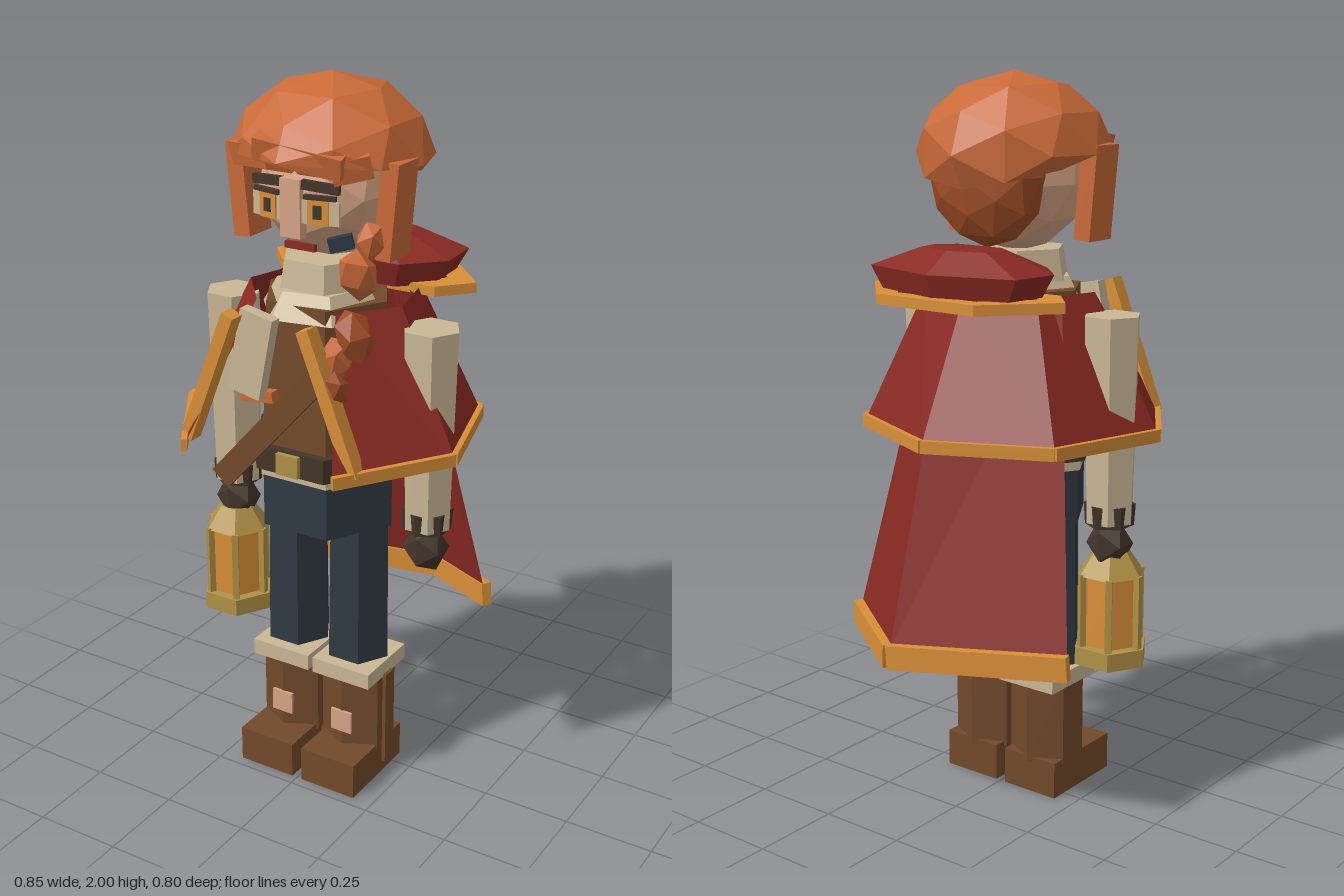
import * as THREE from 'three';

const mat = (name, color, side = THREE.FrontSide) =>
  Object.assign(new THREE.MeshStandardMaterial({ color, flatShading: true, side }), { name });

export function createModel() {
  const model = new THREE.Group();
  const M = {
    hair: mat('copper hair', 0xc96a38),
    auburn: mat('auburn hair', 0xa04e26),
    red: mat('red cloth', 0x8a2a23, THREE.DoubleSide),
    trim: mat('amber trim', 0xd88f38),
    brass: mat('brass', 0xb09146),
    cream: mat('cream cloth', 0xcab896),
    skin: mat('skin', 0xd6a585),
    brown: mat('brown leather', 0x724a2b),
    dark: mat('dark leather', 0x43352a),
    navy: mat('navy cloth', 0x303a43),
  };
  const V = (a) => new THREE.Vector3(...a);

  const add = (name, geo, material, pos = [0, 0, 0], rot = [0, 0, 0]) => {
    const m = new THREE.Mesh(geo, material);
    m.name = name;
    m.position.set(...pos);
    m.rotation.set(...rot);
    model.add(m);
    return m;
  };
  const box = (name, material, size, pos, rot) => add(name, new THREE.BoxGeometry(...size), material, pos, rot);
  // six-sided prism between two heights, corners pointing along x unless turned
  const hex = (name, material, rTop, rBottom, y0, y1, x, z, sx = 1, turn = Math.PI / 6) =>
    add(name, new THREE.CylinderGeometry(rTop, rBottom, y1 - y0, 6).rotateY(turn).scale(sx, 1, 1),
      material, [x, (y0 + y1) / 2, z]);
  // straight bar from a to b: h is its height, t its thickness
  const bar = (name, material, a, b, h, t) => {
    const p = V(a), q = V(b), X = q.clone().sub(p), len = X.length();
    X.normalize();
    const Z = X.clone().cross(V([0, 1, 0])).normalize(), Y = Z.clone().cross(X);
    const m = add(name, new THREE.BoxGeometry(len, h, t), material);
    m.position.copy(p.add(q).multiplyScalar(0.5));
    m.quaternion.setFromRotationMatrix(new THREE.Matrix4().makeBasis(X, Y, Z));
  };
  // surface joining rings of equal length
  const loft = (rings, closed = false) => {
    const n = rings[0].length, out = [];
    for (let r = 0; r < rings.length - 1; r++) {
      for (let i = 0; i < (closed ? n : n - 1); i++) {
        const j = (i + 1) % n, a = rings[r][i], b = rings[r][j], c = rings[r + 1][i], d = rings[r + 1][j];
        out.push(...a, ...c, ...b, ...b, ...c, ...d);
      }
    }
    const g = new THREE.BufferGeometry();
    g.setAttribute('position', new THREE.Float32BufferAttribute(out, 3));
    g.computeVertexNormals();
    return g;
  };
  const ball = (r, detail = 1) => new THREE.IcosahedronGeometry(r, detail);

  // Head, and a hair cap whose rim rises at the front and dips at the back
  add('head', ball(0.187), M.skin, [0, 1.71, 0.03]);
  const dome = ball(1);
  const p = dome.attributes.position;
  for (let i = 0; i < p.count; i++) {
    const z = p.getZ(i);
    p.setY(i, Math.max(p.getY(i), z > 0 ? 0.15 * z - 0.03 : 0.45 * z - 0.03));
  }
  add('hairCap', dome.scale(0.264, 0.21, 0.265), M.hair, [0, 1.79, 0.018]);
  add('backHair', ball(1).scale(0.18, 0.19, 0.098), M.auburn, [0, 1.735, -0.1]);
  box('fringe', M.hair, [0.15, 0.06, 0.06], [-0.115, 1.815, 0.195], [0.2, -0.35, 0.18]);
  box('fringe', M.hair, [0.24, 0.06, 0.06], [0.035, 1.83, 0.222], [0.25, 0.1, -0.18]);
  box('fringe', M.hair, [0.1, 0.06, 0.06], [0.15, 1.805, 0.175], [0.2, 0.6, 0.1]);
  box('hairline', M.auburn, [0.24, 0.035, 0.03], [0, 1.79, 0.182]);
  for (const s of [-1, 1]) box('sideLock', M.hair, [0.05, 0.25, 0.1], [s * 0.222, 1.69, 0.08], [0, 0, s * -0.09]);

  // Face
  for (const s of [-1, 1]) {
    box('eyeWhite', M.cream, [0.1, 0.06, 0.008], [s * 0.078, 1.685, 0.201], [0, s * 0.2, 0]);
    box('iris', M.trim, [0.056, 0.068, 0.008], [s * 0.074, 1.688, 0.206], [0, s * 0.2, 0]);
    box('pupil', M.dark, [0.022, 0.034, 0.008], [s * 0.074, 1.688, 0.21], [0, s * 0.2, 0]);
    box('eyelid', M.dark, [0.085, 0.012, 0.012], [s * 0.078, 1.724, 0.204], [0, s * 0.2, 0]);
    box('eyebrow', M.dark, [0.1, 0.024, 0.015], [s * 0.078, 1.75, 0.2], [0, s * 0.2, s * -0.08]);
  }
  box('nose', M.skin, [0.06, 0.15, 0.03], [0, 1.69, 0.207]);
  box('mouth', M.red, [0.09, 0.018, 0.012], [0.005, 1.585, 0.181]);
  box('cheekPatch', M.navy, [0.062, 0.036, 0.025], [0.118, 1.607, 0.17], [0, 0.45, 0.25]);

  // Braid falling over the left shoulder
  [[0.18, 1.61, 0.13, 0.04, 'hair'], [0.165, 1.53, 0.165, 0.052, 'hair'], [0.205, 1.40, 0.25, 0.052, 'auburn'],
    [0.165, 1.34, 0.27, 0.046, 'hair'], [0.185, 1.275, 0.305, 0.036, 'auburn']].forEach(([x, y, z, r, c], i) =>
    add('braidBead', ball(1, 0).scale(r, r * 1.5, r), M[c], [x, y, z], [0.2, 0.5 + i, i % 2 ? 0.3 : -0.3]));
  box('braidTie', M.hair, [0.05, 0.06, 0.04], [0.165, 1.19, 0.24], [0, 0, 0.15]);

  // Scarf
  hex('scarfWrap', M.cream, 0.12, 0.135, 1.45, 1.535, 0, 0.055);
  hex('scarfBase', M.cream, 0.13, 0.17, 1.39, 1.46, 0, 0.07, 1, 0.7);
  box('scarfEnd', M.cream, [0.1, 0.23, 0.035], [-0.09, 1.305, 0.265], [0, 0, -0.2]);
  box('scarfFringe', M.hair, [0.1, 0.03, 0.03], [-0.09, 1.18, 0.24], [0, 0, 0.12]);

  // Torso, belt and shoulder strap
  hex('vest', M.brown, 0.18, 0.2, 0.96, 1.43, 0, 0.045);
  hex('shirtHem', M.cream, 0.205, 0.205, 0.942, 0.966, 0, 0.043);
  hex('belt', M.dark, 0.212, 0.212, 0.966, 1.035, 0, 0.055);
  box('buckle', M.brass, [0.068, 0.06, 0.02], [0, 1.0, 0.243]);
  bar('shoulderStrap', M.brown, [-0.19, 0.935, 0.28], [0.15, 1.32, 0.27], 0.065, 0.018);

  // Trousers and boots
  hex('hips', M.navy, 0.2, 0.2, 0.79, 0.945, 0, 0.04);
  for (const s of [-1, 1]) {
    const x = s * 0.1;
    hex('leg', M.navy, 0.09, 0.096, 0.378, 0.82, x, 0.043);
    box('bootCuff', M.cream, [0.185, 0.046, 0.205], [x, 0.342, 0.042]);
    hex('bootShaft', M.brown, 0.094, 0.094, 0.09, 0.33, x, 0.042, 1.12, 0);
    box('bootFoot', M.brown, [0.175, 0.105, 0.265], [s * 0.103, 0.0525, 0.087]);
    box('bootStrap', M.brown, [0.02, 0.29, 0.04], [x + 0.092, 0.18, 0.042]);
    box('bootPatch', M.skin, [0.066, 0.066, 0.009], [x, 0.182, 0.136]);
  }

  // Arms and gloves
  for (const s of [-1, 1]) {
    const x = s * 0.308;
    hex('sleeve', M.cream, 0.08, 0.068, 0.82, 1.38, x, 0.037);
    hex('gloveCuff', M.dark, 0.07, 0.066, 0.81, 0.87, x, 0.037, 1, 0);
    add('hand', ball(1, 0).scale(0.064, 0.075, 0.062), M.dark, [x, 0.757, 0.04]);
  }

  // Lantern in the right hand
  const lx = -0.308, lz = 0.05;
  hex('lanternBase', M.brass, 0.107, 0.107, 0.42, 0.47, lx, lz);
  hex('lanternGlass', M.trim, 0.075, 0.075, 0.47, 0.67, lx, lz);
  hex('lanternRoof', M.brass, 0.05, 0.095, 0.67, 0.735, lx, lz);
  for (let i = 0; i < 6; i++) {
    const a = i * Math.PI / 3;
    box('lanternPost', M.brass, [0.018, 0.21, 0.018], [lx + 0.087 * Math.cos(a), 0.57, lz + 0.087 * Math.sin(a)], [0, -a, 0]);
  }

  // Shoulder cape, open at the front
  const mirror = (half) => [...half, ...half.slice(0, -1).reverse().map(([x, y, z]) => [-x, y, z])];
  const topRing = mirror([[-0.12, 1.43, 0.2], [-0.235, 1.43, 0.06], [-0.185, 1.43, -0.13], [0, 1.43, -0.2]]);
  const hemRing = mirror([[-0.228, 1.06, 0.392], [-0.418, 1.06, 0.1], [-0.322, 1.06, -0.235], [0, 1.06, -0.378]]);
  add('shoulderCape', loft([topRing, hemRing]), M.red);
  for (let i = 0; i < hemRing.length - 1; i++) bar('capeHem', M.trim, hemRing[i], hemRing[i + 1], 0.034, 0.016);
  for (const s of [-1, 1]) bar('capeFrontTrim', M.trim, [s * 0.112, 1.425, 0.325], [s * 0.256, 1.06, 0.325], 0.036, 0.045);

  // Long cape hanging behind
  const longTop = [[0.2, 1.42, -0.07], [0.05, 1.42, -0.2], [-0.23, 1.42, -0.08]];
  const longHem = [[0.356, 0.515, -0.23], [0.118, 0.48, -0.38], [-0.362, 0.515, -0.23]];
  add('longCape', loft([longTop, longHem]), M.red);
  for (let i = 0; i < 2; i++) {
    const [a, b] = [longHem[i], longHem[i + 1]].map(([x, y, z]) => [x * 1.02, y - 0.02, z - 0.006]);
    bar('longCapeHem', M.trim, a, b, 0.068, 0.03);
  }

  // Folded hood resting on the back, with a flat rim around its base
  const hoodOutline = [[-0.16, -0.05], [0.16, -0.05], [0.255, -0.15], [0.245, -0.285], [0, -0.35], [-0.235, -0.285], [-0.255, -0.15]];
  const hoodRing = (k, y) => hoodOutline.map(([x, z]) => [x * k, y, (z + 0.2) * k - 0.2]);
  add('hood', loft([hoodRing(0.01, 1.558), hoodRing(0.45, 1.553), hoodRing(1, 1.5), hoodRing(0.85, 1.43), hoodRing(0.01, 1.43)], true), M.red);
  const flat = (pts) => pts.map(([x, y]) => new THREE.Vector2(x, y));
  const rim = new THREE.Shape(flat([[-0.16, 0.36], [0.16, 0.36], [0.318, 0.19], [0.24, 0.1], [-0.24, 0.1], [-0.318, 0.19]]));
  rim.holes.push(new THREE.Path(flat([[-0.13, 0.31], [0.13, 0.31], [0.23, 0.19], [0.19, 0.13], [-0.19, 0.13], [-0.23, 0.19]])));
  add('hoodTrim', new THREE.ExtrudeGeometry(rim, { depth: 0.028, bevelEnabled: false }).rotateX(-Math.PI / 2), M.trim, [0, 1.412, 0]);

  return model;
}
